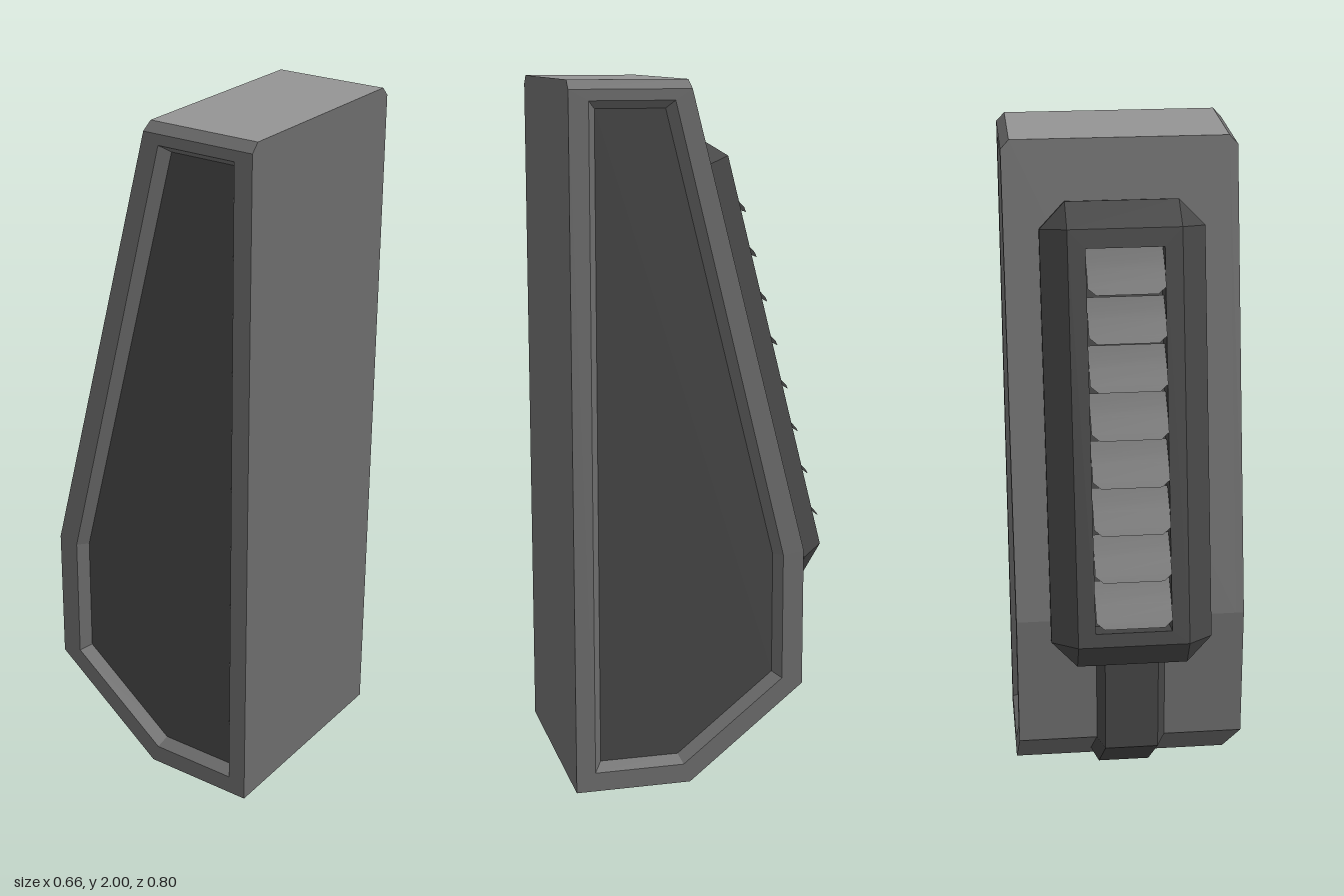
import * as THREE from 'three';

const flat = (color) => new THREE.MeshStandardMaterial({ color, flatShading: true });
const bodyGrey = flat(0x6c6c6c);
const topGrey = flat(0x949494);
const darkGrey = flat(0x454545);
const bladeGrey = new THREE.MeshStandardMaterial({ color: 0x686868, side: THREE.DoubleSide });

// Skin a list of equal-length rings; optionally leave each ring open or cap the ends (convex)
function loft(rings, { closed = true, caps = false } = {}) {
  const positions = [];
  const ab = new THREE.Vector3(), ac = new THREE.Vector3();
  const tri = (a, b, c) => {
    ab.subVectors(b, a);
    ac.subVectors(c, a);
    if (ab.cross(ac).length() < 1e-8) return;
    for (const p of [a, b, c]) positions.push(p.x, p.y, p.z);
  };
  const n = rings[0].length;
  for (let i = 0; i < rings.length - 1; i++) {
    for (let j = 0; j < (closed ? n : n - 1); j++) {
      const k = (j + 1) % n, r = rings[i], s = rings[i + 1];
      tri(r[j], r[k], s[k]);
      tri(r[j], s[k], s[j]);
    }
  }
  if (caps) {
    const first = rings[0], last = rings[rings.length - 1];
    for (let j = 1; j < n - 1; j++) {
      tri(first[0], first[j + 1], first[j]);
      tri(last[0], last[j], last[j + 1]);
    }
  }
  const geometry = new THREE.BufferGeometry();
  geometry.setAttribute('position', new THREE.Float32BufferAttribute(positions, 3));
  geometry.computeVertexNormals();
  return geometry;
}

function addMesh(parent, name, geometry, material) {
  const mesh = new THREE.Mesh(geometry, material);
  mesh.name = name;
  parent.add(mesh);
  return mesh;
}

// Side ring at a given x from [z, y] pairs
const sideRing = (x, points) => points.map(([z, y]) => new THREE.Vector3(x, y, z));

// Rectangle with cut corners; cutting by zero gives a plain rectangle
function cutRect(n, halfX, bottom, top, cx = 0, cy = 0) {
  return [
    [halfX - cx, bottom], [halfX, bottom + cy], [halfX, top - cy], [halfX - cx, top],
    [cx - halfX, top], [-halfX, top - cy], [-halfX, bottom + cy], [cx - halfX, bottom],
  ].map(([x, y]) => new THREE.Vector3(x, y, n));
}

// Wedge body: light top, chamfered side frames, recessed dark panel in each side
function addBody(model) {
  const full = [[0.4, 2], [0.4, 0], [0.066, 0], [-0.271, 0.27], [-0.271, 0.67], [0.066, 2]];
  const edge = [[0.4, 1.975], ...full.slice(1, 5), [0.06, 1.975]];
  const rim = [[0.345, 1.945], [0.345, 0.055], [0.085, 0.055], [-0.21, 0.29], [-0.21, 0.66], [0.107, 1.945]];
  const floor = [[0.323, 1.923], [0.323, 0.077], [0.095, 0.077], [-0.188, 0.303], [-0.188, 0.657], [0.127, 1.923]];
  const roof = [full[5], full[0]];
  const across = (points) => loft([sideRing(-0.308, points), sideRing(0.308, points)], { closed: false });
  addMesh(model, 'body', across(full), bodyGrey);
  addMesh(model, 'top', across(roof), topGrey);

  for (const side of [-1, 1]) {
    const frame = [[0.308, full], [0.332, edge], [0.332, rim], [0.3, floor]]
      .map(([x, p]) => sideRing(side * x, p));
    const panel = [0.28, 0.3].map((x) => sideRing(side * x, floor));
    if (side < 0) {
      frame.reverse();
      panel.reverse();
    }
    addMesh(model, 'sideFrame', loft(frame), bodyGrey);
    addMesh(model, 'sidePanel', loft(panel, { caps: true }), darkGrey);
  }
}

// Strap with sloping flanks, running around the lower back corner
function addStrap(model) {
  const face = [[-0.015, 0.072], [-0.055, 0.045], [-0.305, 0.25], [-0.305, 0.6], [-0.015, 0.6]];
  const foot = [[-0.015, 0.072], [-0.04, 0.085], [-0.269, 0.27], [-0.269, 0.6], [-0.015, 0.6]];
  const rings = [[-0.102, foot], [-0.078, face], [0.078, face], [0.102, foot]];
  addMesh(model, 'strap', loft(rings.map(([x, p]) => sideRing(x, p)), { caps: true }), darkGrey);
}

// Bevelled housing with an open rectangular pocket
function makeHousing() {
  return loft([
    cutRect(-0.04, 0.233, -0.134, 1.2, 0.073, 0.075),
    cutRect(0.022, 0.233, -0.134, 1.2, 0.073, 0.075),
    cutRect(0.098, 0.16, -0.06, 1.125),
    cutRect(0.098, 0.11, -0.02, 1.072),
    cutRect(0.01, 0.11, -0.02, 1.072),
  ], { caps: true });
}

// Curved louver blade with clipped corners at its lower tip
function makeBlade() {
  const stations = [0, 0.25, 0.5, 0.85, 1];
  const geometry = new THREE.PlaneGeometry(2, 1, 1, stations.length - 1);
  const p = geometry.attributes.position;
  for (let i = 0; i < p.count; i++) {
    const s = stations[Math.floor(i / 2)];
    const halfX = s === 1 ? 0.086 : 0.109;
    p.setXYZ(i, p.getX(i) * halfX, 0.125 * (1 - s), 0.05 + 0.081 * s + 0.03 * s * (1 - s));
  }
  geometry.computeVertexNormals();
  return geometry;
}

// Vent assembly on the sloping back, y up the slope and z outward
function addVent(model) {
  const vent = new THREE.Group();
  vent.name = 'vent';
  const up = new THREE.Vector3(0, 1.33, 0.336).normalize();
  const out = new THREE.Vector3(0, up.z, -up.y);
  vent.quaternion.setFromRotationMatrix(
    new THREE.Matrix4().makeBasis(new THREE.Vector3(-1, 0, 0), up, out));
  vent.position.set(0, 0.67, -0.27);
  model.add(vent);
  addMesh(vent, 'ventHousing', makeHousing(), darkGrey);
  const blade = makeBlade();
  for (let i = 0; i < 8; i++) {
    addMesh(vent, 'louverBlade', blade, bladeGrey).position.y = i * 0.135;
  }
}

export function createModel() {
  const model = new THREE.Group();
  model.name = 'ventedWedge';
  addBody(model);
  addStrap(model);
  addVent(model);
  return model;
}
